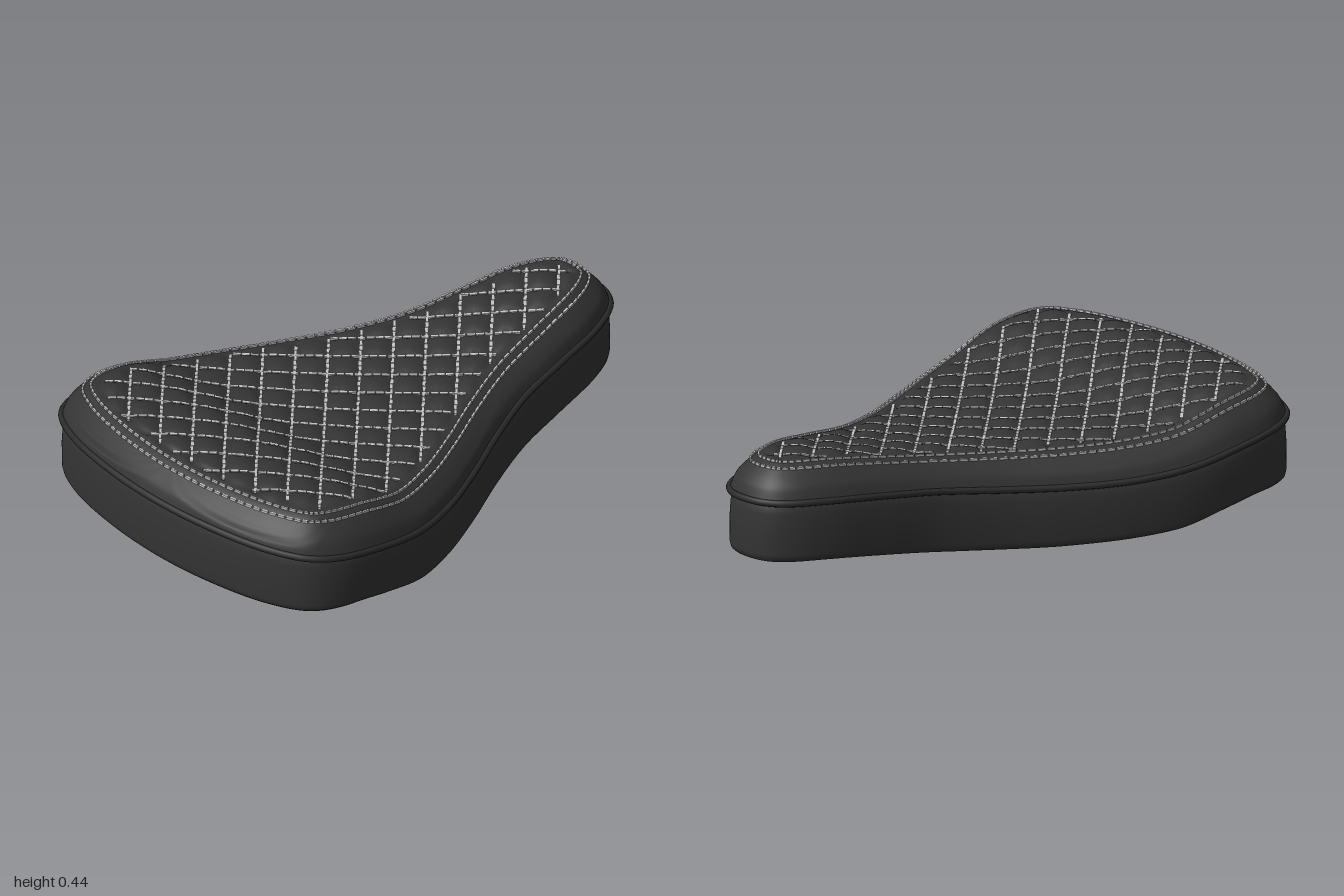
import * as THREE from 'three';
import { mergeGeometries } from 'three/addons/utils/BufferGeometryUtils.js';

const N = 320;        // points round the outline
const QUILT = 0.151;  // diamond size
const EDGE = 0.115;   // quilted area starts this far inside the outline

// Smooth curve y(x) through keyed points (cubic Hermite)
function profile(keys) {
  const slope = (i) => {
    const a = keys[Math.max(i - 1, 0)], b = keys[Math.min(i + 1, keys.length - 1)];
    return (b[1] - a[1]) / (b[0] - a[0]);
  };
  return (x) => {
    const v = THREE.MathUtils.clamp(x, keys[0][0], keys[keys.length - 1][0]);
    let i = 0;
    while (i < keys.length - 2 && v > keys[i + 1][0]) i++;
    const [x0, y0] = keys[i], [x1, y1] = keys[i + 1], h = x1 - x0, t = (v - x0) / h;
    const t2 = t * t, t3 = t2 * t;
    return y0 * (2 * t3 - 3 * t2 + 1) + y1 * (3 * t2 - 2 * t3)
      + h * (slope(i) * (t3 - 2 * t2 + t) + slope(i + 1) * (t3 - t2));
  };
}

// Heights along the length: underside, piping seam, cushion top
const bottomY = profile([[-1, 0.09], [-0.7, 0.088], [-0.55, 0.064], [-0.35, 0.02], [0, 0.003], [0.3, 0.015], [0.6, 0.044], [0.8, 0.06], [1, 0.06]]);
const seamY = profile([[-1, 0.32], [-0.8, 0.3], [-0.6, 0.268], [-0.4, 0.23], [-0.2, 0.21], [0, 0.208], [0.2, 0.217], [0.5, 0.243], [0.8, 0.264], [1, 0.265]]);
const topY = profile([[-0.85, 0.442], [-0.75, 0.437], [-0.6, 0.415], [-0.5, 0.385], [-0.4, 0.355], [-0.2, 0.335], [0, 0.33], [0.2, 0.335], [0.4, 0.35], [0.6, 0.377], [0.75, 0.395], [0.88, 0.397]]);
// Rise of the cushion with distance from the rim
const rise = profile([[0, 0], [0.02, 0.36], [0.065, 0.73], [0.095, 0.88], [0.14, 0.98], [0.18, 1]]);

// Plan outline, mirrored across z, with outward normals
const half = [[0.975, 0.09], [0.92, 0.15], [0.8, 0.208], [0.6, 0.255], [0.4, 0.3], [0.2, 0.38], [0, 0.48], [-0.2, 0.572], [-0.4, 0.638], [-0.6, 0.661], [-0.76, 0.645], [-0.855, 0.59], [-0.925, 0.46], [-0.975, 0.24]];
const loop = [[0.993, 0], ...half, [-0.993, 0], ...half.map(([x, z]) => [x, -z]).reverse()];
const curve = new THREE.CatmullRomCurve3(loop.map(([x, z]) => new THREE.Vector3(x, 0, z)), true, 'centripetal');
curve.arcLengthDivisions = 1000;
const outline = [];
for (let i = 0; i < N; i++) {
  const p = curve.getPointAt(i / N), t = curve.getTangentAt(i / N);
  outline.push({ x: p.x, z: p.z, nx: t.z, nz: -t.x });
}

// Distance inside the outline (negative outside)
function inside(x, z) {
  let best = Infinity, near = null;
  for (const o of outline) {
    const d = (x - o.x) ** 2 + (z - o.z) ** 2;
    if (d < best) { best = d; near = o; }
  }
  const out = (x - near.x) * near.nx + (z - near.z) * near.nz;
  return best < 1e-10 ? 0 : -Math.sign(out) * Math.sqrt(best);
}

// Cushion surface with quilted puffs
function cushionPoint(x, z) {
  const d = Math.max(inside(x, z), 0), s = seamY(x);
  const wave = (v) => Math.abs(Math.sin(Math.PI * (v + 0.07) / QUILT));
  const puff = Math.pow(wave(x + z) * wave(x - z), 0.6);
  const fade = THREE.MathUtils.smoothstep(d, EDGE - 0.01, EDGE + 0.02);
  const y = s + (topY(x) - 0.004 - s) * rise(d) + fade * (0.018 * puff - 0.014);
  return new THREE.Vector3(x, y, z);
}

// Closed skin from a list of rings
function loft(rings) {
  const pos = [], index = [];
  for (const ring of rings) for (const p of ring) pos.push(p.x, p.y, p.z);
  for (let j = 0; j < rings.length - 1; j++) {
    for (let i = 0; i < N; i++) {
      const k = (i + 1) % N, a = j * N + i, b = j * N + k, c = a + N, d = b + N;
      index.push(a, c, b, b, c, d);
    }
  }
  const g = new THREE.BufferGeometry();
  g.setAttribute('position', new THREE.Float32BufferAttribute(pos, 3));
  g.setIndex(index);
  g.computeVertexNormals();
  return g;
}

const inset = (o, d) => [o.x - o.nx * d, o.z - o.nz * d];
// Point on the way from the outline to the centre spine
const toSpine = (o, u) => [o.x * (1 - 0.2 * u), o.z * (1 - u)];

// One thread dash lying between two surface points
function dash(a, b, width) {
  const g = new THREE.BoxGeometry(width, 0.008, a.distanceTo(b));
  const m = new THREE.Matrix4().lookAt(b, a, new THREE.Vector3(0, 1, 0));
  m.setPosition(a.clone().add(b).multiplyScalar(0.5).add(new THREE.Vector3(0, 0.004, 0)));
  return g.applyMatrix4(m);
}

function borderStitches(d) {
  const out = [], step = 2;
  for (let i = 0; i < N; i += step) {
    const [ax, az] = inset(outline[i], d), [bx, bz] = inset(outline[(i + step) % N], d);
    const a = cushionPoint(ax, az), b = cushionPoint(bx, bz);
    out.push(dash(a, a.clone().lerp(b, 0.78), 0.007));
  }
  return mergeGeometries(out);
}

function quiltStitches() {
  const out = [], len = 0.026, pitch = 0.03;
  for (const side of [1, -1]) {
    for (let k = -12; k <= 12; k++) {
      const c = -0.07 + k * QUILT; // line x + side * z = c
      for (let z = -0.66; z < 0.66; z += pitch * Math.SQRT1_2) {
        const z2 = z + len * Math.SQRT1_2, x = c - side * z, x2 = c - side * z2;
        if (inside(x, z) < EDGE || inside(x2, z2) < EDGE) continue;
        out.push(dash(cushionPoint(x, z), cushionPoint(x2, z2), 0.01));
      }
    }
  }
  return mergeGeometries(out);
}

export function createModel() {
  const group = new THREE.Group();
  const material = (name, color) => {
    const m = new THREE.MeshStandardMaterial({ color });
    m.name = name;
    return m;
  };
  const leather = material('black leather', 0x343434);
  const trim = material('dark piping', 0x2b2b2b);
  const under = material('underside black', 0x222222);
  const thread = material('light thread', 0xc4c4c4);
  const add = (name, geometry, mat) => {
    const mesh = new THREE.Mesh(geometry, mat);
    mesh.name = name;
    group.add(mesh);
  };

  // Underside panel
  add('underside', loft([1, 0.75, 0.5, 0.25, 0].map((u) => outline.map((o) => {
    const [ex, ez] = inset(o, 0.014);
    const [x, z] = toSpine({ x: ex, z: ez }, u);
    return new THREE.Vector3(x, bottomY(x), z);
  }))), under);

  // Side wall: height fraction and inset
  const wall = [[0, 0.014], [0.04, 0.005], [0.12, 0.001], [0.5, 0], [0.8, 0.004], [0.92, 0.01], [1, 0.018]];
  add('sideWall', loft(wall.map(([f, d]) => outline.map((o) => {
    const [x, z] = inset(o, d);
    return new THREE.Vector3(x, THREE.MathUtils.lerp(bottomY(x), seamY(x), f), z);
  }))), leather);

  // Quilted cushion, finer rows near the rim
  const rows = [];
  for (let j = 0; j <= 52; j++) {
    const u = Math.pow(j / 52, 1.25);
    rows.push(outline.map((o) => cushionPoint(...toSpine(o, u))));
  }
  add('cushion', loft(rows), leather);

  // Piping round the seam
  const seam = outline.filter((o, i) => i % 4 === 0).map((o) => new THREE.Vector3(o.x, seamY(o.x), o.z));
  add('piping', new THREE.TubeGeometry(new THREE.CatmullRomCurve3(seam, true), 240, 0.012, 8, true), trim);

  // Thread
  add('outerBorderStitching', borderStitches(0.068), thread);
  add('innerBorderStitching', borderStitches(0.095), thread);
  add('diamondStitching', quiltStitches(), thread);
  return group;
}
